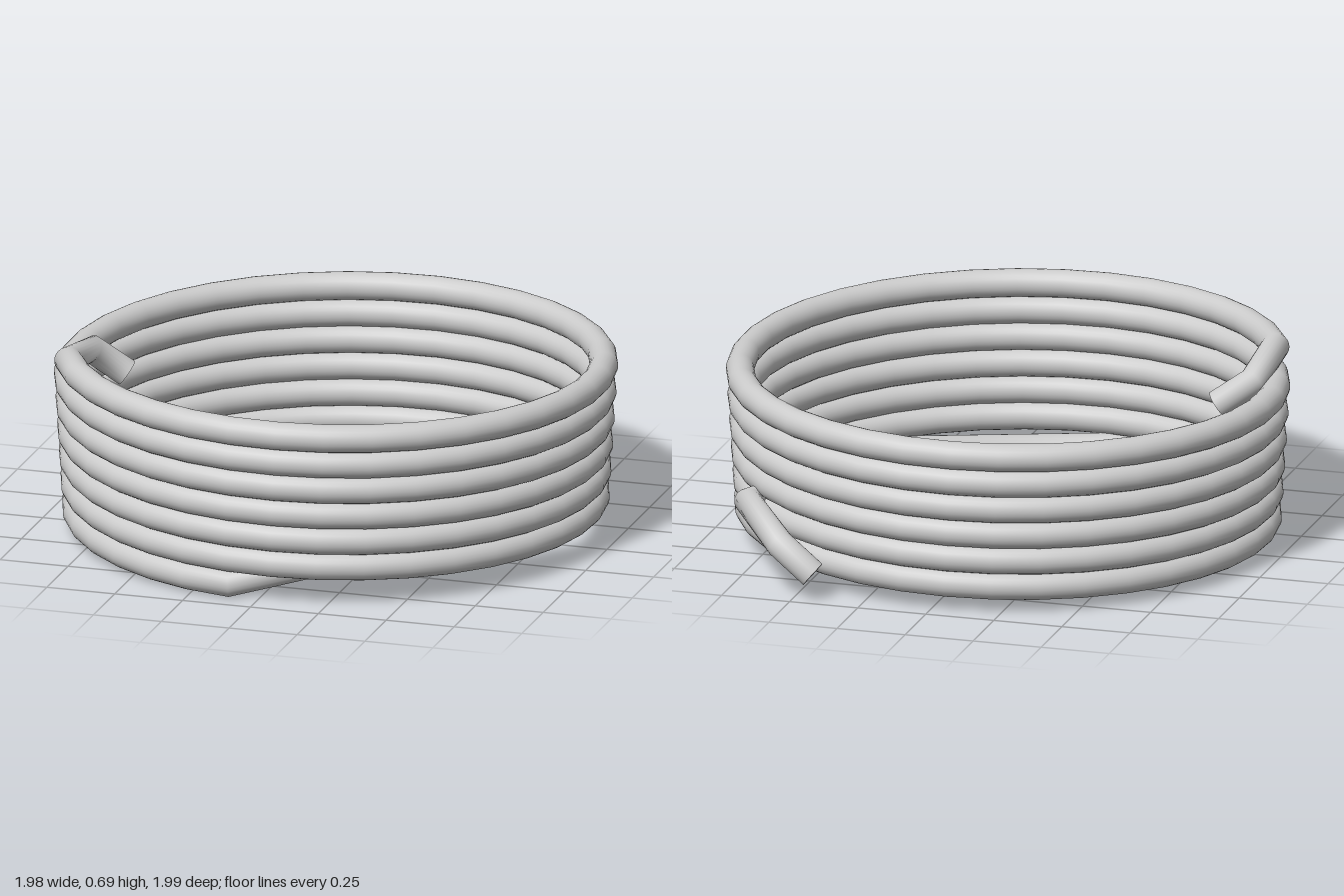
import * as THREE from 'three';

const TUBE_RADIUS = 0.05;
const SIDES = 24;

// Polyline path: one tube ring per point, mitred halfway between neighbours
class BentPath extends THREE.Curve {
  constructor(points) {
    super();
    this.points = points;
  }
  getPointAt(u) {
    return this.points[Math.round(u * (this.points.length - 1))].clone();
  }
  getTangentAt(u) {
    const p = this.points, n = p.length - 1, i = Math.round(u * n);
    const tangent = new THREE.Vector3();
    if (i > 0) tangent.add(p[i].clone().sub(p[i - 1]).normalize());
    if (i < n) tangent.add(p[i + 1].clone().sub(p[i]).normalize());
    return tangent.normalize();
  }
}

// Helix rising from the front, slightly wider towards the top
function helixPoints() {
  const start = 97, end = 155 + 6 * 360, steps = 222;
  const points = [];
  for (let i = 0; i <= steps; i++) {
    const t = i / steps;
    const degrees = start + (end - start) * t;
    const angle = THREE.MathUtils.degToRad(degrees);
    const r = 0.912 + 0.035 * t;
    const y = 0.08 + 0.096 * (degrees - 180) / 360;
    points.push(new THREE.Vector3(r * Math.cos(angle), Math.max(y, 0.05), r * Math.sin(angle)));
  }
  return points;
}

const toPoints = (list) => list.map((p) => new THREE.Vector3(...p));

export function createModel() {
  const group = new THREE.Group();
  group.name = 'coiledPipe';
  const material = new THREE.MeshStandardMaterial({ color: 0xcccccc });

  // Outer hook, through the coil wall, then across the inside to the lowest turn
  const lowerLead = toPoints([
    [0.43, 0.10, -0.95], [0.55, 0.20, -0.95], [0.755, 0.25, -0.66],
    [0.715, 0.24, -0.53], [0.733, 0.23, -0.38], [0.733, 0.21, -0.2],
    [0.715, 0.195, -0.06], [0.68, 0.18, 0.09], [0.62, 0.165, 0.24], [0.52, 0.14, 0.4],
  ]);

  // Short bent end leaving the top turn
  const upperLead = toPoints([[-0.86, 0.605, 0.12], [-0.74, 0.52, 0.09]]);

  // The whole pipe
  const points = [...lowerLead, ...helixPoints(), ...upperLead];
  const path = new BentPath(points);
  const pipe = new THREE.Mesh(
    new THREE.TubeGeometry(path, points.length - 1, TUBE_RADIUS, SIDES, false), material);
  pipe.name = 'coil';
  group.add(pipe);

  // Flat caps on both ends
  for (const [name, u, sign] of [['lowerEndCap', 0, -1], ['upperEndCap', 1, 1]]) {
    const cap = new THREE.Mesh(new THREE.CircleGeometry(TUBE_RADIUS, SIDES), material);
    cap.name = name;
    cap.position.copy(path.getPointAt(u));
    cap.lookAt(cap.position.clone().addScaledVector(path.getTangentAt(u), sign));
    group.add(cap);
  }
  return group;
}
